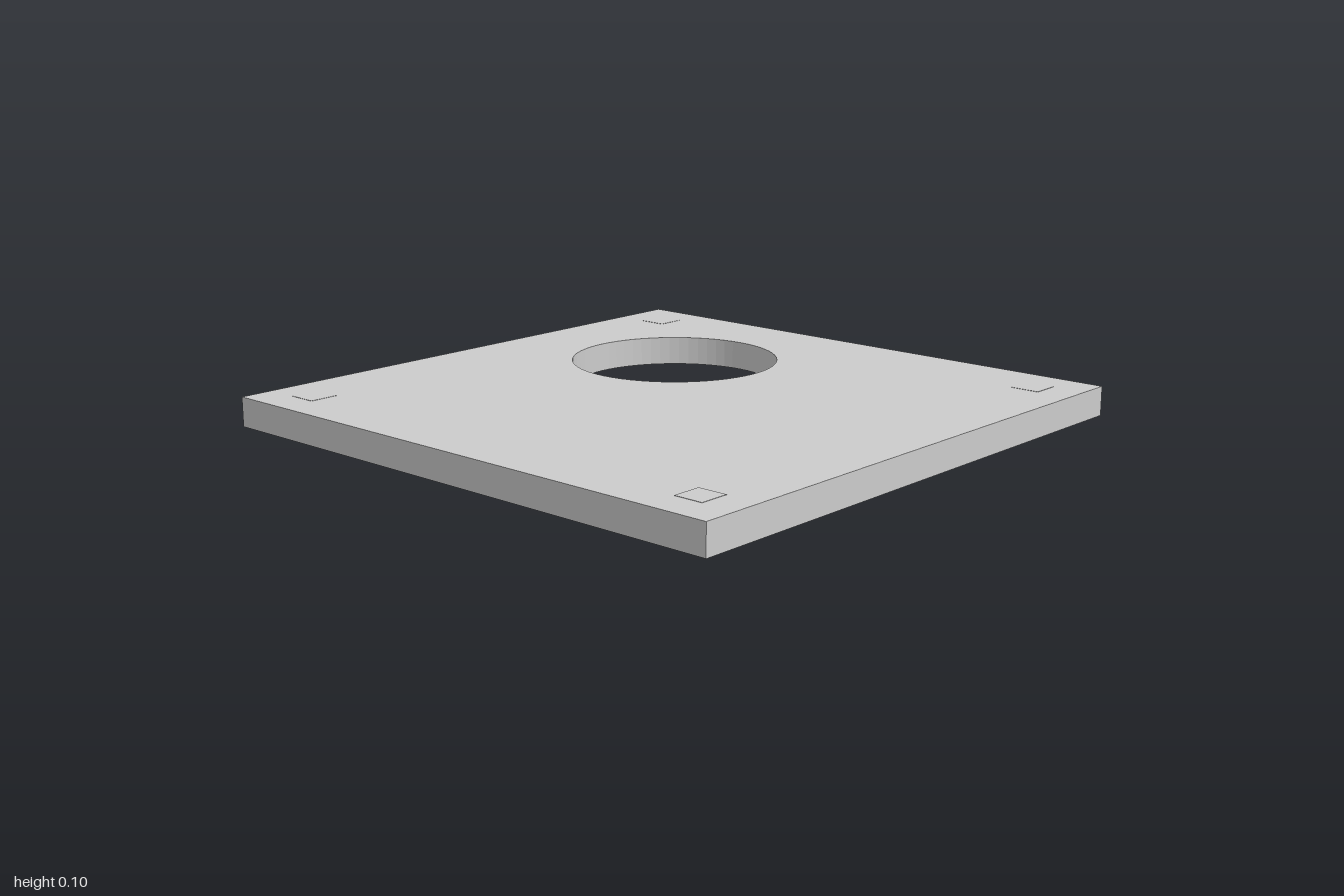
import * as THREE from 'three';

const THICKNESS = 0.1;

export function createModel() {
  const group = new THREE.Group();
  group.name = 'perforatedSlab';
  const material = new THREE.MeshStandardMaterial({ color: 0xcccccc });

  // Square slab with one off-centre round opening
  const outline = new THREE.Shape();
  outline.moveTo(-1, -1);
  outline.lineTo(1, -1);
  outline.lineTo(1, 1);
  outline.lineTo(-1, 1);
  outline.closePath();
  const opening = new THREE.Path();
  opening.absarc(-0.34, 0.365, 0.362, 0, Math.PI * 2, true);
  outline.holes.push(opening);

  const slabGeometry = new THREE.ExtrudeGeometry(outline, {
    depth: THICKNESS,
    bevelEnabled: false,
    curveSegments: 32,
  });
  slabGeometry.rotateX(-Math.PI / 2);
  const slab = new THREE.Mesh(slabGeometry, material);
  slab.name = 'slab';
  group.add(slab);

  // Square posts set into the corners, practically flush with the top
  const postGeometry = new THREE.BoxGeometry(0.1, THICKNESS, 0.1);
  for (const [x, xName] of [[-1, 'Right'], [1, 'Left']]) {
    for (const [z, zName] of [[-1, 'back'], [1, 'front']]) {
      const post = new THREE.Mesh(postGeometry, material);
      post.name = `${zName}${xName}Post`;
      post.position.set(x * 0.835, THICKNESS / 2 + 0.001, z * 0.835);
      group.add(post);
    }
  }
  return group;
}
